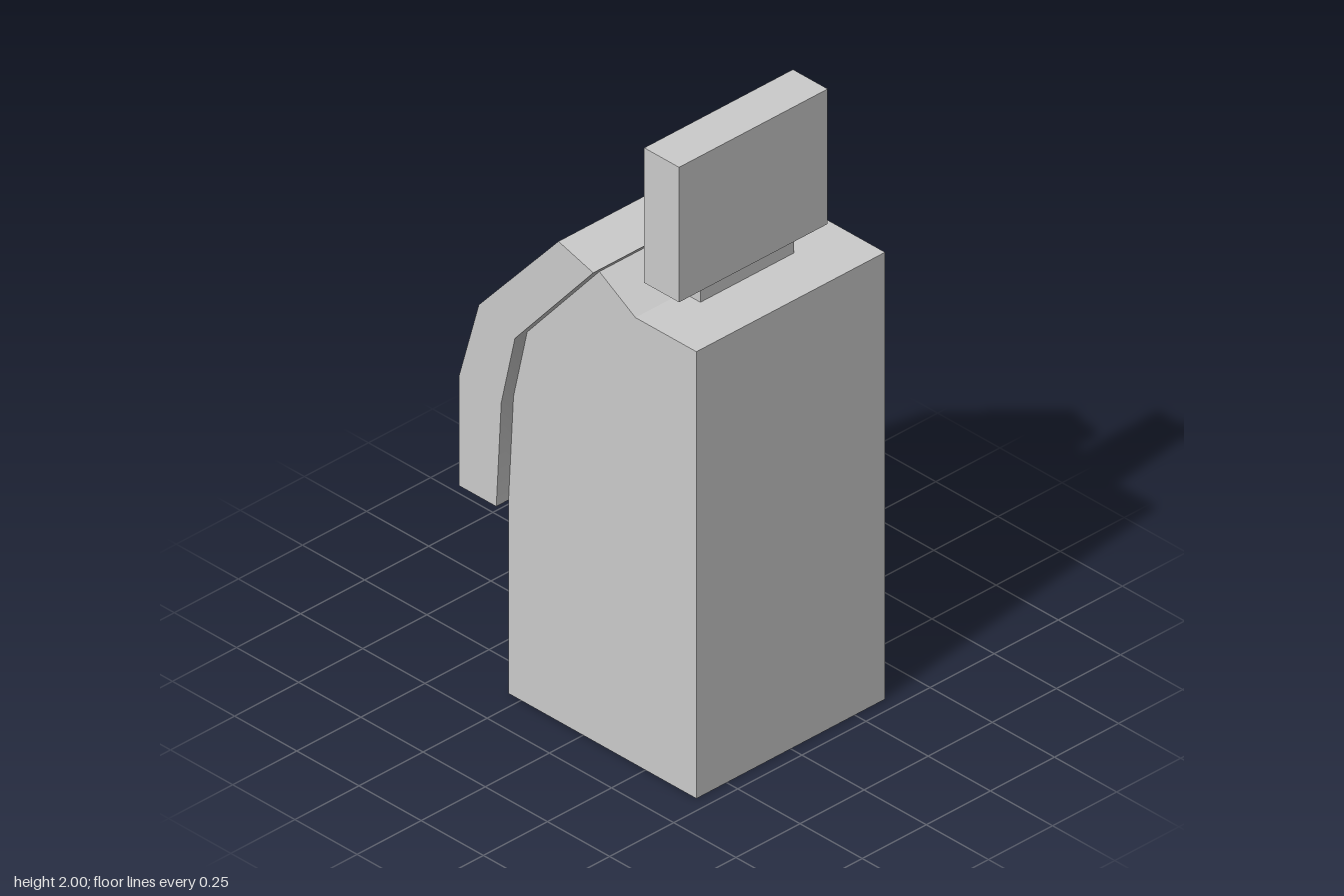
import * as THREE from 'three';
import { toCreasedNormals } from 'three/addons/utils/BufferGeometryUtils.js';

const grey = new THREE.MeshStandardMaterial({ color: 0xcccccc });
const greyBoth = new THREE.MeshStandardMaterial({ color: 0xcccccc, side: THREE.DoubleSide });

function add(parent, name, geometry, material = grey) {
  const mesh = new THREE.Mesh(geometry, material);
  mesh.name = name;
  parent.add(mesh);
  return mesh;
}

// Fan-triangulates polygons given as lists of [x, y, z] corners
function sheet(polygons, crease = 0.85) {
  const pos = [];
  for (const p of polygons) {
    for (let i = 1; i < p.length - 1; i++) pos.push(...p[0], ...p[i], ...p[i + 1]);
  }
  const g = new THREE.BufferGeometry();
  g.setAttribute('position', new THREE.Float32BufferAttribute(pos, 3));
  return toCreasedNormals(g, crease);
}

// Profile points are [z, y]
const at = (x, [z, y]) => [x, y, z];
const strip = (a, b, x0, x1) => [at(x0, a), at(x0, b), at(x1, b), at(x1, a)];

function box(parent, name, w, h, d, x, y, z) {
  const mesh = add(parent, name, new THREE.BoxGeometry(w, h, d));
  mesh.position.set(x, y, z);
  return mesh;
}

// Plate with rectangular holes [x0, y0, x1, y1]; its face lies at z = 0
function framedPlate(x0, y0, x1, y1, holes, depth) {
  const rect = (path, a, b, c, d) => {
    path.moveTo(a, b); path.lineTo(c, b); path.lineTo(c, d); path.lineTo(a, d); path.closePath();
    return path;
  };
  const shape = rect(new THREE.Shape(), x0, y0, x1, y1);
  for (const h of holes) shape.holes.push(rect(new THREE.Path(), ...h));
  return new THREE.ExtrudeGeometry(shape, { depth, bevelEnabled: false }).translate(0, 0, -depth);
}

export function createModel() {
  const model = new THREE.Group();
  model.name = 'cashMachine';

  // Cabinet: hollow below and behind the fascia
  const W = 0.368;
  const body = [[0.455, 0], [0.455, 1.49], [0.21, 1.49], [0.065, 1.576],
    [-0.225, 1.24], [-0.28, 1.0], [-0.3, 0.645], [-0.3, 0]];
  const walls = [body.map(p => at(W, p)).reverse(), body.map(p => at(-W, p))];
  for (const i of [0, 1, 2, 5, 6]) walls.push(strip(body[i], body[i + 1], W, -W));
  add(model, 'cabinet', sheet(walls, 0.3), greyBoth);

  // Fascia front: rows of strips, open at the two recesses
  const F = 0.416, R = 0.285;
  const front = [[-0.05, 1.645], [-0.13, 1.555], [-0.37, 1.285], [-0.405, 1.165],
    [-0.45, 1.01], [-0.45, 0.765], [-0.45, 0.645]];
  const half = [R, R, R, R, 0.267, 0.21, 0.21];
  const open = [1, 2, 4];
  const faces = [];
  for (let i = 0; i < 6; i++) {
    const a = front[i], b = front[i + 1], u = half[i], v = half[i + 1];
    const cols = [[F, F, u, v], [-u, -v, -F, -F]];
    if (!open.includes(i)) cols.push([u, v, -u, -v]);
    for (const [a0, b0, a1, b1] of cols) faces.push([at(a0, a), at(b0, b), at(b1, b), at(a1, a)]);
  }
  // Sloping back of the lower recess, blending into the front
  const trayBack = [-0.33, 0.765];
  faces.push([at(half[4], front[4]), at(half[5], trayBack), at(-half[5], trayBack), at(-half[4], front[4])]);

  // Fascia sides, rear rims, top and underside
  const outer = [0, 2, 4, 6].map(i => front[i]);
  const inner = [[0.09, 1.605], [-0.225, 1.24], [-0.28, 1.0], [-0.3, 0.645]];
  for (let i = 0; i < 3; i++) {
    const side = [outer[i], inner[i], inner[i + 1], outer[i + 1]];
    faces.push(side.map(p => at(F, p)), side.map(p => at(-F, p)).reverse());
    faces.push(strip(inner[i + 1], inner[i], F, 0.36), strip(inner[i + 1], inner[i], -0.36, -F));
  }
  faces.push(strip([0.05, 1.559], inner[0], 0.36, -0.36));
  faces.push(strip(inner[0], outer[0], F, -F), strip(outer[3], inner[3], F, -F));
  add(model, 'fascia', sheet(faces), greyBoth);

  // Lower recess: floor and triangular cheeks
  const low = [strip(front[5], trayBack, 0.21, -0.21)];
  for (const s of [1, -1]) {
    const cheek = [at(s * half[4], front[4]), at(s * half[5], trayBack), at(s * half[5], front[5])];
    low.push(s > 0 ? cheek : cheek.reverse());
  }
  add(model, 'dispenserTray', sheet(low, 0.3), greyBoth);

  // Upper recess: shelf and cheeks
  const corner = [-0.215, 1.19];
  const up = [strip(corner, front[3], R, -R)];
  const cheek = [corner, front[1], front[2], front[3]];
  up.push(cheek.map(p => at(R, p)), cheek.map(p => at(-R, p)).reverse());
  add(model, 'consoleRecess', sheet(up, 0.3), greyBoth);

  // Tilted panel with sunken screen and card slot
  const rise = front[1][1] - corner[1], run = front[1][0] - corner[0];
  const L = Math.hypot(rise, run);
  const panel = new THREE.Group();
  panel.name = 'consolePanel';
  panel.position.set(0, corner[1], corner[0]);
  panel.rotation.set(Math.atan2(run, rise), Math.PI, 0);
  model.add(panel);
  const screen = [-0.165, 0.177, 0.165, 0.318], slot = [0.043, 0.022, 0.247, 0.124];
  add(panel, 'panelFace', new THREE.ShapeGeometry(
    framedShape(-R, 0, R, L, [screen, slot])), greyBoth);
  for (const [name, h, d] of [['screen', screen, 0.025], ['cardSlot', slot, 0.05]]) {
    const [a, b, c, e] = h;
    const rim = [[a, b], [c, b], [c, e], [a, e]];
    const polys = [rim.map(([x, y]) => [x, y, -d])];
    rim.forEach(([x, y], i) => {
      const [x2, y2] = rim[(i + 1) % 4];
      polys.push([[x, y, 0], [x2, y2, 0], [x2, y2, -d], [x, y, -d]]);
    });
    add(panel, name, sheet(polys, 0.3), greyBoth);
  }

  // Keypad on the shelf
  box(model, 'keypad', 0.18, 0.03, 0.155, 0.14, 1.18, -0.3125).rotation.x = -0.15;

  // Sign display on its foot
  box(model, 'displayFoot', 0.365, 0.07, 0.085, 0, 1.52, 0.2375);
  const frame = add(model, 'displayFrame',
    framedPlate(-0.29, 1.55, 0.29, 2, [[-0.215, 1.685, 0.215, 1.95]], 0.05));
  frame.rotation.y = Math.PI;
  frame.position.z = 0.165;
  box(model, 'displayBack', 0.58, 0.45, 0.09, 0, 1.775, 0.26);

  return model;
}

// Flat rectangle with rectangular holes
function framedShape(x0, y0, x1, y1, holes) {
  const points = (a, b, c, d) => [[a, b], [c, b], [c, d], [a, d]].map(p => new THREE.Vector2(...p));
  const shape = new THREE.Shape(points(x0, y0, x1, y1));
  for (const h of holes) shape.holes.push(new THREE.Path(points(...h)));
  return shape;
}
